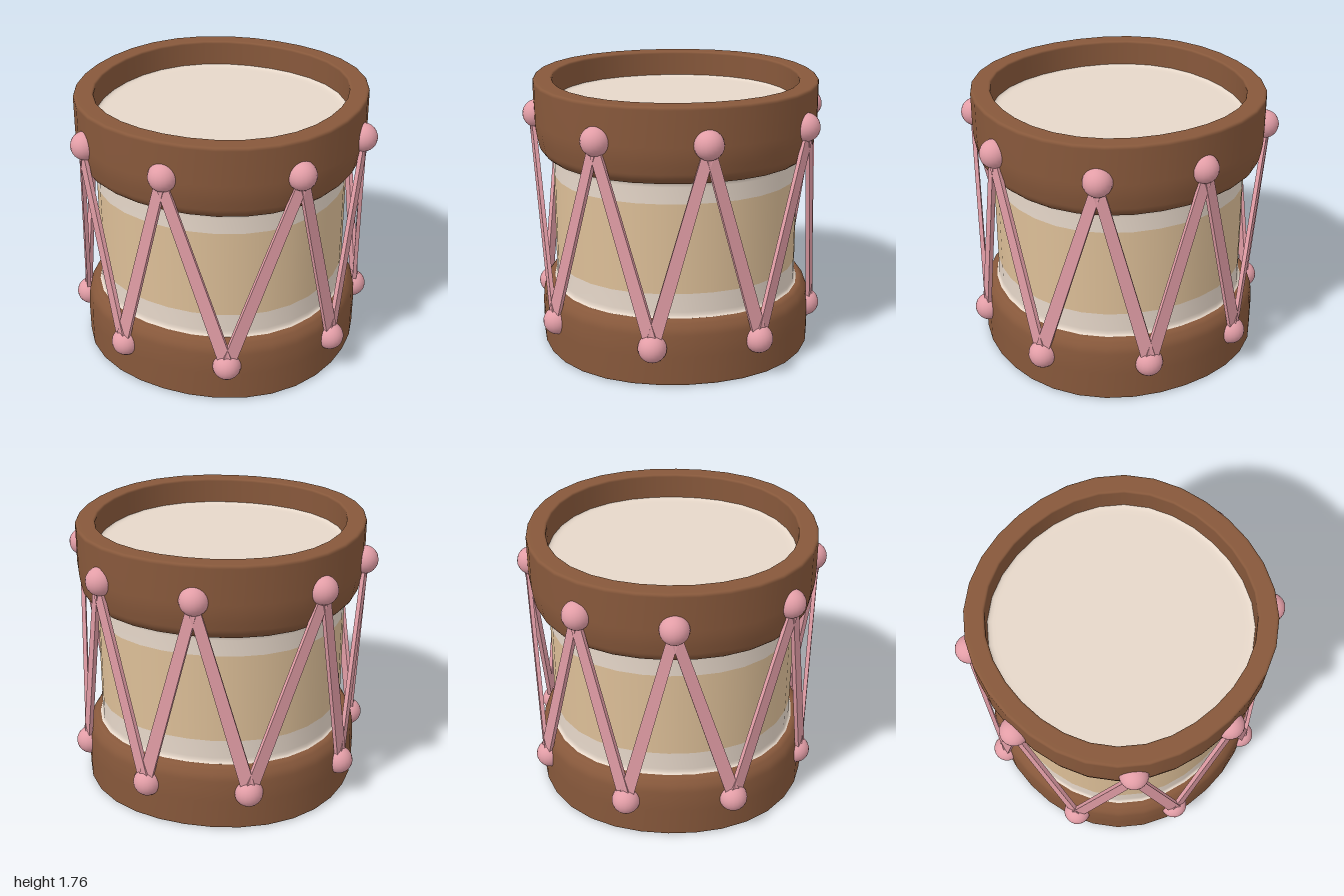
import * as THREE from 'three';

const mat = (name, color) => {
  const m = new THREE.MeshStandardMaterial({ color });
  m.name = name;
  return m;
};

// The drum is slightly fuller on its diagonals than on its axes
const fullness = (a) => 1 + 0.03 * Math.sin(2 * a) ** 2;

// Lathe from points, widened on the diagonals
function turned(points) {
  const geometry = new THREE.LatheGeometry(points, 32);
  const pos = geometry.attributes.position;
  for (let i = 0; i < pos.count; i++) {
    const f = fullness(Math.atan2(pos.getX(i), pos.getZ(i)));
    pos.setXYZ(i, pos.getX(i) * f, pos.getY(i), pos.getZ(i) * f);
  }
  return geometry;
}

// Open surface from [radius, height] pairs
const lathe = (pts) => turned(pts.map(([r, y]) => new THREE.Vector2(r, y)));

// Closed ring from corners [radius, height, rounding], listed counter-clockwise
function roundedRing(corners) {
  const out = [];
  const n = corners.length;
  const at = (i) => new THREE.Vector2(corners[(i + n) % n][0], corners[(i + n) % n][1]);
  for (let i = 0; i < n; i++) {
    const p = at(i);
    const a = at(i - 1).sub(p).setLength(corners[i][2]).add(p);
    const b = at(i + 1).sub(p).setLength(corners[i][2]).add(p);
    out.push(...new THREE.QuadraticBezierCurve(a, p, b).getPoints(4));
  }
  out.push(out[0].clone());
  return turned(out);
}

// Point on the drum's outline at an angle from the front
const onDrum = (deg, r, y) => {
  const a = THREE.MathUtils.degToRad(deg);
  const f = r * fullness(a);
  return new THREE.Vector3(Math.sin(a) * f, y, Math.cos(a) * f);
};

export function createModel() {
  const group = new THREE.Group();
  const wood = mat('brown wood', 0x87583b);
  const skin = mat('off-white skin', 0xe6d7c9);
  const tan = mat('tan band', 0xdcbe97);
  const pink = mat('pink cord', 0xe39ea7);
  const add = (name, geometry, material) => {
    const mesh = new THREE.Mesh(geometry, material);
    mesh.name = name;
    group.add(mesh);
    return mesh;
  };

  // Shell, with a small fillet at each hoop
  add('lowerShell', lathe([[0.815, 0.414], [0.805, 0.419], [0.799, 0.43], [0.797, 0.45], [0.797, 0.57]]), skin);
  add('shellBand', lathe([[0.797, 0.57], [0.797, 1.145]]), tan);
  add('upperShell', lathe([[0.797, 1.145], [0.797, 1.25], [0.799, 1.268], [0.805, 1.278], [0.815, 1.283]]), skin);

  // Recessed drumheads, curving into the hoops
  add('topHead', lathe([[0.795, 1.602], [0.788, 1.592], [0.778, 1.585], [0.76, 1.582], [0.73, 1.582], [0, 1.582]]), skin);
  add('bottomHead', lathe([[0, 0.175], [0.71, 0.175], [0.738, 0.175], [0.755, 0.172], [0.764, 0.165], [0.77, 0.155]]), skin);

  // Wooden hoops
  add('topHoop', roundedRing([
    [0.79, 1.28, 0.01], [0.835, 1.28, 0.02], [0.885, 1.325, 0.03],
    [0.912, 1.46, 0.06], [0.912, 1.76, 0.02], [0.79, 1.76, 0.015],
  ]), wood);
  add('bottomHoop', roundedRing([
    [0.765, 0, 0.015], [0.893, 0, 0.015], [0.895, 0.25, 0.06],
    [0.882, 0.36, 0.03], [0.84, 0.415, 0.02], [0.765, 0.415, 0.01],
  ]), wood);

  // Pegs: upper and lower alternate around the drum
  const upperAngles = [2.5, 54.6, 96.9, 143.7, 185, 235, 272.5, 321];
  const lowerAngles = [26.8, 75.7, 119.4, 163.4, 206, 252.8, 296.8, 340.6];
  const pegGeometry = new THREE.SphereGeometry(0.09, 20, 14);
  const addPeg = (name, deg, r, y) => {
    const inset = 0.01 * Math.cos(2 * THREE.MathUtils.degToRad(deg));
    add(name, pegGeometry, pink).position.copy(onDrum(deg, r - inset, y));
  };

  // Flat strap between two points, wider at the bottom, its face turned outwards
  const strapGeometry = new THREE.BoxGeometry(1, 1, 0.026);
  const corners = strapGeometry.attributes.position;
  for (let i = 0; i < corners.count; i++) {
    corners.setX(i, corners.getX(i) * (corners.getY(i) > 0 ? 0.068 : 0.088));
  }
  const addStrap = (bottom, top) => {
    const along = top.clone().sub(bottom);
    const length = along.length();
    along.normalize();
    const mid = bottom.clone().add(top).multiplyScalar(0.5);
    const side = along.clone().cross(new THREE.Vector3(mid.x, 0, mid.z)).normalize();
    const face = side.clone().cross(along);
    const strap = add('strap', strapGeometry, pink);
    strap.quaternion.setFromRotationMatrix(new THREE.Matrix4().makeBasis(side, along, face));
    strap.position.copy(mid);
    strap.scale.y = length;
  };

  upperAngles.forEach((deg, i) => {
    addPeg('upperPeg', deg, 0.903, 1.534);
    addPeg('lowerPeg', lowerAngles[i], 0.885, 0.253);
    const top = onDrum(deg, 0.922, 1.51);
    addStrap(onDrum(lowerAngles[i], 0.905, 0.27), top);
    addStrap(onDrum(lowerAngles[(i + 7) % 8], 0.905, 0.27), top);
  });

  return group;
}
